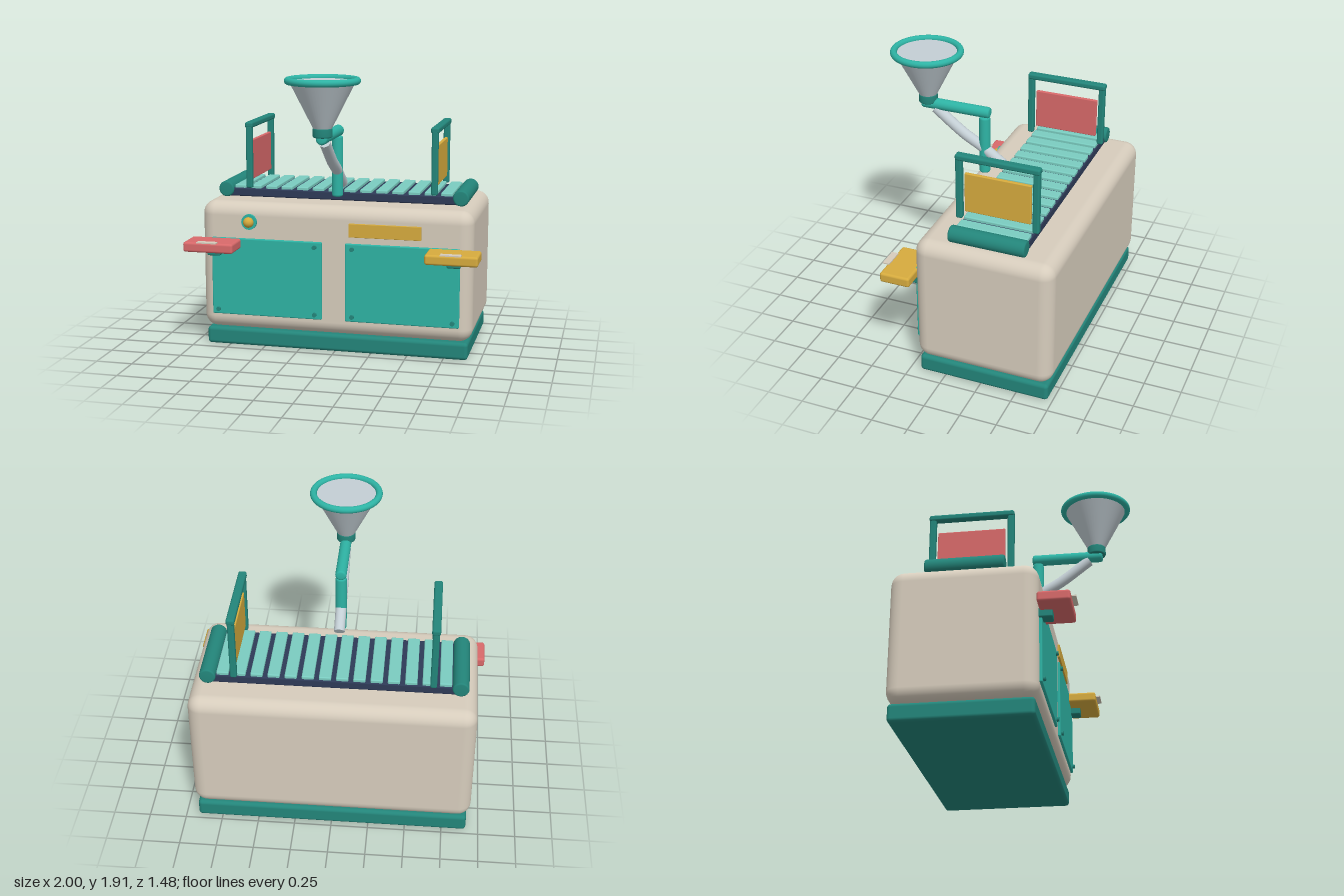
import * as THREE from 'three';
import { RoundedBoxGeometry } from 'three/addons/geometries/RoundedBoxGeometry.js';

const mat = (name, color) => {
  const m = new THREE.MeshStandardMaterial({ color });
  m.name = name;
  return m;
};

export function createModel() {
  const root = new THREE.Group();
  root.name = 'conveyorMachine';

  const beige = mat('beige', 0xd6ccbc);
  const teal = mat('teal', 0x2eb3a4);
  const darkTeal = mat('darkTeal', 0x23857a);
  const paleTeal = mat('paleTeal', 0x7accc0);
  const navy = mat('navy', 0x2e3a57);
  const gold = mat('gold', 0xd6ab3e);
  const red = mat('red', 0xd8696a);
  const grey = mat('grey', 0xc3ced4);

  const add = (name, geometry, material, x, y, z, parent = root) => {
    const mesh = new THREE.Mesh(geometry, material);
    mesh.name = name;
    mesh.position.set(x, y, z);
    parent.add(mesh);
    return mesh;
  };
  // Rounded box given by its limits on each axis
  const block = (name, material, [x0, x1], [y0, y1], [z0, z1], r, parent = root) =>
    add(name, new RoundedBoxGeometry(x1 - x0, y1 - y0, z1 - z0, 4, r), material,
      (x0 + x1) / 2, (y0 + y1) / 2, (z0 + z1) / 2, parent);
  const cyl = (rTop, rBottom, h, sides = 32) => new THREE.CylinderGeometry(rTop, rBottom, h, sides);
  // Cylinder with softened rims, centred on its own axis
  const softRod = (r, h, b) => new THREE.LatheGeometry([
    [0, -h / 2], [r - b, -h / 2], [r - b * 0.3, -h / 2 + b * 0.3], [r, -h / 2 + b],
    [r, h / 2 - b], [r - b * 0.3, h / 2 - b * 0.3], [r - b, h / 2], [0, h / 2],
  ].map(([x, y]) => new THREE.Vector2(x, y)), 28);

  // Cabinet and plinth
  block('base', darkTeal, [-0.915, 0.915], [0, 0.12], [-0.72, 0.18], 0.025);
  block('body', beige, [-0.94, 0.94], [0.12, 1.015], [-0.74, 0.2], 0.09);

  // Front doors with corner screws
  for (const s of [-1, 1]) {
    block('frontPanel', teal, [s * 0.47 - 0.389, s * 0.47 + 0.389], [0.23, 0.77], [0.19, 0.217], 0.008);
    for (const x of [0.13, 0.815]) for (const y of [0.265, 0.735]) {
      add('screw', cyl(0.015, 0.015, 0.02, 16), darkTeal, s * x, y, 0.223).rotation.x = Math.PI / 2;
    }
  }

  // Control knob and label plate
  add('knobBezel', cyl(0.053, 0.053, 0.025), teal, -0.59, 0.887, 0.207).rotation.x = Math.PI / 2;
  add('knob', new THREE.SphereGeometry(0.036, 24, 16), gold, -0.59, 0.887, 0.228);
  block('labelPlate', gold, [0.105, 0.598], [0.815, 0.908], [0.195, 0.215], 0.003);

  // Side trays with brackets and clips
  for (const s of [-1, 1]) {
    const tray = new THREE.Group();
    tray.name = s < 0 ? 'rightTray' : 'leftTray';
    root.add(tray);
    const c = s * 0.825;
    block('tray', s < 0 ? red : gold, [c - 0.175, c + 0.175], [0.7, 0.768], [0.2, 0.407], 0.016, tray);
    block('trayBracket', darkTeal, [c - 0.046, c + 0.046], [0.655, 0.72], [0.19, 0.283], 0.01, tray);
    add('trayClip', new THREE.BoxGeometry(0.137, 0.008, 0.046), beige, c, 0.774, 0.41, tray);
  }

  // Conveyor belt, slats and end rollers
  const belt = new THREE.Group();
  belt.name = 'conveyor';
  root.add(belt);
  block('beltBed', navy, [-0.82, 0.82], [1.018, 1.077], [-0.522, -0.03], 0.01, belt);
  for (let i = 0; i < 14; i++) {
    const x = -0.727 + i * 0.1118;
    block('slat', paleTeal, [x - 0.04, x + 0.04], [1.065, 1.098], [-0.515, -0.037], 0.008, belt);
  }
  for (const s of [-1, 1]) {
    add('roller', softRod(0.055, 0.515, 0.012), darkTeal, s * 0.825, 1.067, -0.276, belt).rotation.x = Math.PI / 2;
  }

  // Gates above the belt
  for (const s of [-1, 1]) {
    const gate = new THREE.Group();
    gate.name = s < 0 ? 'rightGate' : 'leftGate';
    root.add(gate);
    const x = s * 0.648;
    for (const z of [-0.01, -0.53]) {
      block('gatePost', darkTeal, [x - 0.022, x + 0.022], [1.085, 1.52], [z - 0.022, z + 0.022], 0.012, gate);
    }
    block('gateBeam', darkTeal, [x - 0.028, x + 0.028], [1.503, 1.545], [-0.555, 0.012], 0.014, gate);
    block('gateScreen', s < 0 ? red : gold, [x - 0.012, x + 0.012], [1.14, 1.415], [-0.495, -0.048], 0.006, gate);
  }

  // Funnel on its swing arm
  const feeder = new THREE.Group();
  feeder.name = 'feeder';
  root.add(feeder);
  add('armPost', softRod(0.038, 0.415, 0.015), teal, 0, 1.275, 0.084, feeder);
  add('arm', softRod(0.038, 0.492, 0.015), teal, 0, 1.515, 0.291, feeder).rotation.x = Math.PI / 2;
  add('funnelNeck', softRod(0.064, 0.064, 0.01), darkTeal, 0, 1.555, 0.495, feeder);
  add('funnel', cyl(0.215, 0.06, 0.305, 48), grey, 0, 1.733, 0.495, feeder);
  add('funnelRim', new THREE.TorusGeometry(0.222, 0.023, 16, 56), teal, 0, 1.887, 0.495, feeder).rotation.x = Math.PI / 2;

  // Drop tube with closed ends
  const path = new THREE.CatmullRomCurve3([
    [1.485, 0.44], [1.33, 0.235], [1.255, 0.105], [1.14, -0.06],
  ].map(([y, z]) => new THREE.Vector3(0, y, z)));
  add('dropTube', new THREE.TubeGeometry(path, 24, 0.037, 20), grey, 0, 0, 0, feeder);
  for (const t of [0, 1]) {
    const p = path.getPointAt(t);
    const cap = add('dropTubeEnd', new THREE.CircleGeometry(0.037, 20), grey, p.x, p.y, p.z, feeder);
    cap.quaternion.setFromUnitVectors(new THREE.Vector3(0, 0, 1),
      path.getTangentAt(t).multiplyScalar(t ? 1 : -1));
  }

  return root;
}
